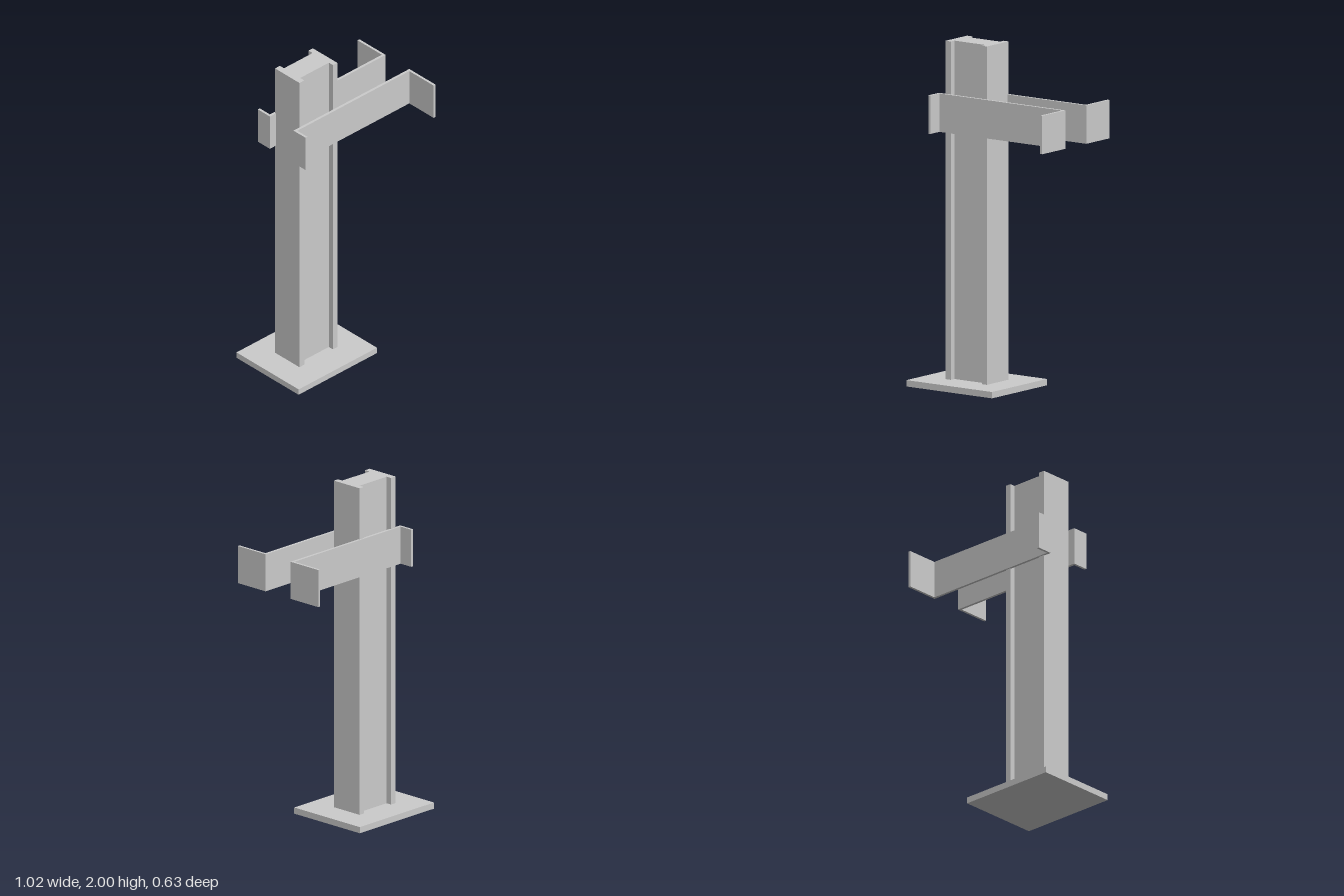
import * as THREE from 'three';

const material = new THREE.MeshStandardMaterial({ color: 0xcccccc, flatShading: true });

// Extrudes a plan outline of [x, z] points from height y0 to y1
function prism(name, outline, y0, y1) {
  const shape = new THREE.Shape(outline.map(([x, z]) => new THREE.Vector2(x, -z)));
  const geometry = new THREE.ExtrudeGeometry(shape, { depth: y1 - y0, bevelEnabled: false });
  geometry.rotateX(-Math.PI / 2).translate(0, y0, 0);
  const mesh = new THREE.Mesh(geometry, material);
  mesh.name = name;
  return mesh;
}

export function createModel() {
  const group = new THREE.Group();
  const baseTop = 0.037;

  // Base plate
  const base = new THREE.Mesh(new THREE.BoxGeometry(0.615, baseTop, 0.516), material);
  base.name = 'basePlate';
  base.position.set(-0.2035, baseTop / 2, 0);
  group.add(base);

  // Column with a shallow channel along its front and back
  const [x0, x1, x2, x3] = [-0.353, -0.315, -0.09, -0.056];
  const [back, backGroove, frontGroove, front] = [-0.105, -0.071, 0.064, 0.098];
  group.add(prism('column', [
    [x0, front], [x1, front], [x1, frontGroove], [x2, frontGroove], [x2, front], [x3, front],
    [x3, back], [x2, back], [x2, backGroove], [x1, backGroove], [x1, back], [x0, back],
  ], baseTop, 2));

  // Mirrored bracket arms: a short flange at one end, a long one at the other
  for (const [name, side] of [['frontArm', 1], ['backArm', -1]]) {
    const outline = [
      [-0.4, 0.098], [0.509, 0.098], [0.509, 0.316], [0.494, 0.316],
      [0.494, 0.114], [-0.385, 0.114], [-0.385, 0.198], [-0.4, 0.198],
    ];
    group.add(prism(name, outline.map(([x, z]) => [x, z * side]), 1.47, 1.693));
  }

  return group;
}
